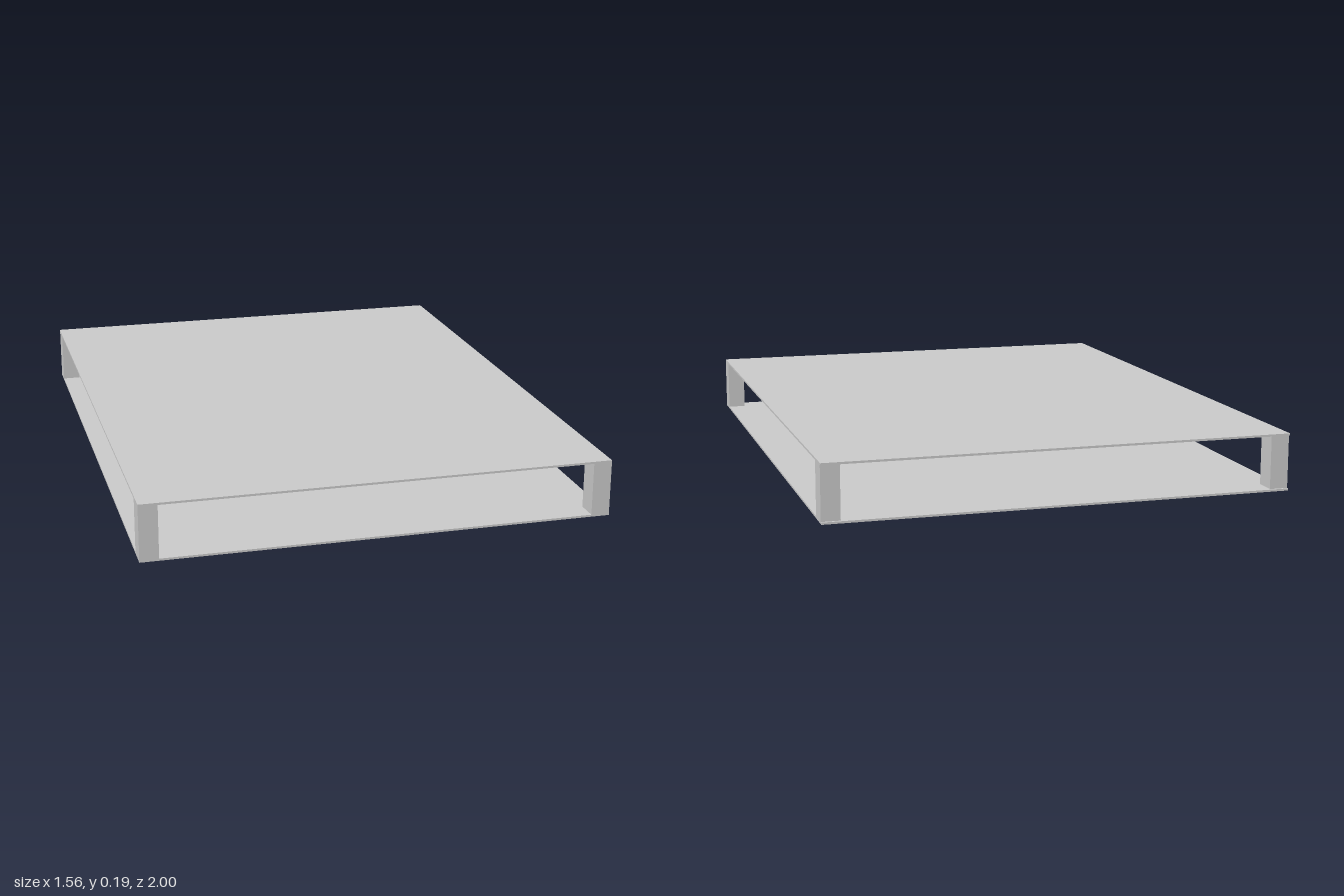
import * as THREE from 'three';

const WIDTH = 1.56, HEIGHT = 0.192, DEPTH = 2, SHEET = 0.007;

export function createModel() {
  const group = new THREE.Group();
  const material = new THREE.MeshStandardMaterial({ color: 0xcccccc, flatShading: true });

  const addBox = (name, [w, h, d], [x, y, z]) => {
    const mesh = new THREE.Mesh(new THREE.BoxGeometry(w, h, d), material);
    mesh.name = name;
    mesh.position.set(x, y, z);
    group.add(mesh);
  };

  // Thin bottom and top sheets
  addBox('bottomPanel', [WIDTH, SHEET, DEPTH], [0, SHEET / 2, 0]);
  addBox('topPanel', [WIDTH, SHEET, DEPTH], [0, HEIGHT - SHEET / 2, 0]);

  // Four corner posts between the sheets; the rear pair is set in slightly
  const postW = 0.062, postD = 0.074, postH = HEIGHT - 2 * SHEET;
  for (const [side, sx] of [['Left', 1], ['Right', -1]]) {
    const x = sx * (WIDTH - postW) / 2;
    addBox('frontPost' + side, [postW, postH, postD], [x, HEIGHT / 2, 1 - postD / 2]);
    addBox('backPost' + side, [postW, postH, postD], [x, HEIGHT / 2, -0.992 + postD / 2]);
  }
  return group;
}
